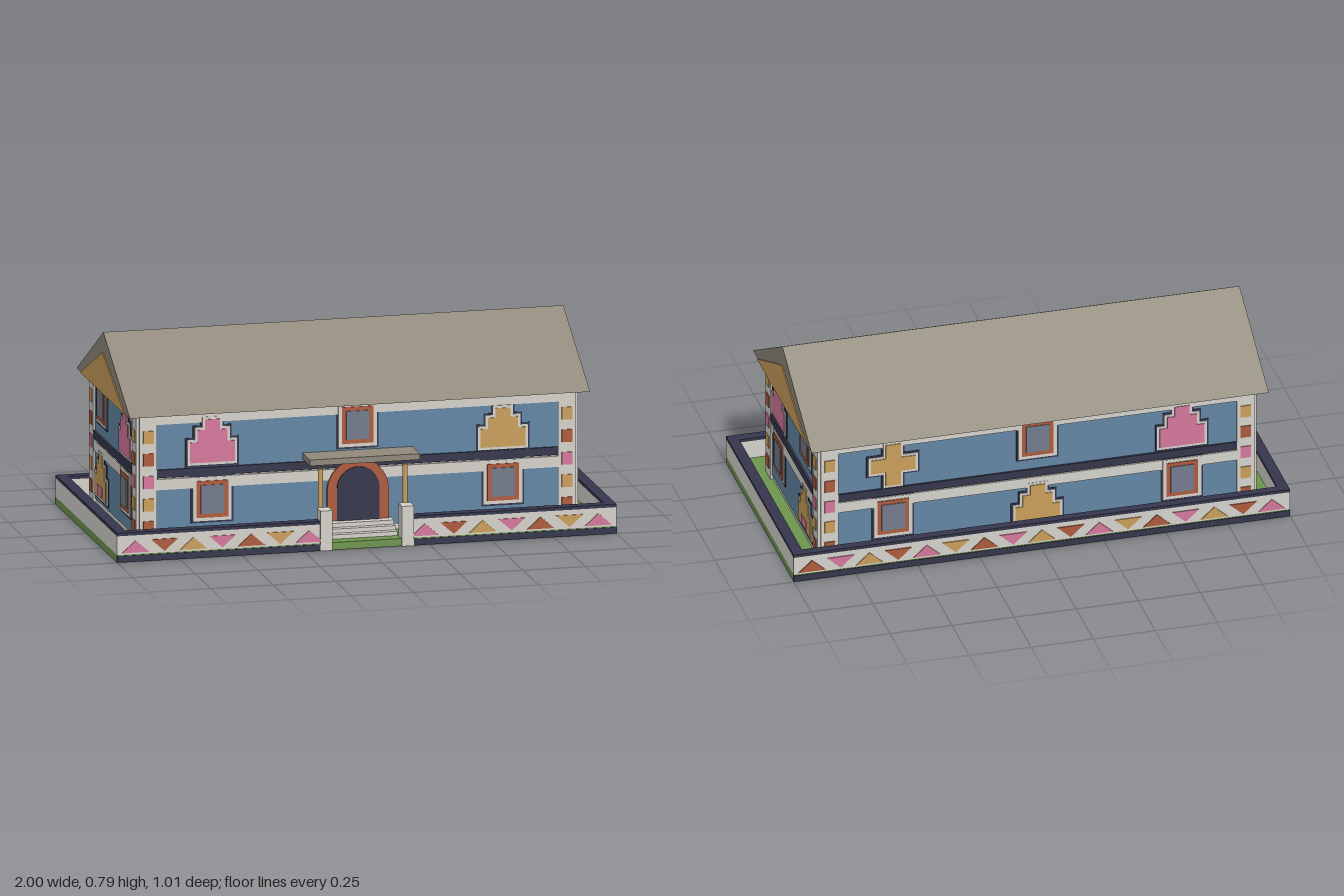
import * as THREE from 'three';

const paint = (name, color) => {
  const m = new THREE.MeshStandardMaterial({ color });
  m.name = name;
  return m;
};
const white = paint('plaster white', 0xd4d1ca), blue = paint('wall blue', 0x6285a3);
const navy = paint('navy trim', 0x35354c), pink = paint('pink', 0xd4779b);
const gold = paint('ochre', 0xc89d5a), red = paint('rust red', 0xac5a3c);
const green = paint('grass green', 0x6d934d), roofGrey = paint('roof grey', 0x8f887a);
const glass = paint('glass grey', 0x737a8b);

const FRONT = 0.338, BACK = -0.424, HALF_X = 0.873;
const MID_Z = (FRONT + BACK) / 2, HALF_Z = (FRONT - BACK) / 2;

function add(parent, name, geometry, material) {
  const mesh = new THREE.Mesh(geometry, material);
  mesh.name = name;
  parent.add(mesh);
  return mesh;
}

// Box given by its limits
function box(parent, name, mat, x0, x1, y0, y1, z0, z1) {
  const m = add(parent, name, new THREE.BoxGeometry(x1 - x0, y1 - y0, z1 - z0), mat);
  m.position.set((x0 + x1) / 2, (y0 + y1) / 2, (z0 + z1) / 2);
  return m;
}

// Flat outline raised from a wall by depth
function plate(parent, name, mat, points, depth) {
  const shape = new THREE.Shape(points.map(([x, y]) => new THREE.Vector2(x, y)));
  return add(parent, name, new THREE.ExtrudeGeometry(shape, { depth, bevelEnabled: false }), mat);
}

// Framed window in four stacked layers
function addWindow(wall, x, y) {
  const g = new THREE.Group();
  g.name = 'window';
  [['outline', navy, 0.085, 0.095, 0.007], ['surround', white, 0.0775, 0.087, 0.0105],
    ['frame', red, 0.0635, 0.0735, 0.0135], ['pane', glass, 0.047, 0.057, 0.0165]]
    .forEach(([n, m, w, h, d]) => box(g, n, m, -w, w, -h, h, 0, d));
  g.position.set(x, y, 0);
  wall.add(g);
}

// Ornament with white and navy outlines; outline(d) gives its points grown by d
function addMotif(wall, name, mat, x, y, outline) {
  const g = new THREE.Group();
  g.name = name;
  plate(g, 'outline', navy, outline(0.017), 0.007);
  plate(g, 'surround', white, outline(0.01), 0.0105);
  plate(g, 'fill', mat, outline(0), 0.0135);
  g.position.set(x, y, 0);
  wall.add(g);
  return g;
}

// Three-step pyramid, mirrored about its centre line
const stepped = (h) => (d) => {
  const right = [[0.09 + d, -d], [0.09 + d, 0.48 * h + d], [0.06 + d, 0.48 * h + d],
    [0.06 + d, 0.76 * h + d], [0.03 + d, 0.76 * h + d], [0.03 + d, h + d]];
  return [...right, ...right.map(([x, y]) => [-x, y]).reverse()];
};
const cross = (d) => {
  const a = 0.03 + d, b = 0.09 + d;
  return [[a, -b], [a, -a], [b, -a], [b, a], [a, a], [a, b],
    [-a, b], [-a, a], [-b, a], [-b, -a], [-a, -a], [-a, -b]];
};

// Wall face: panels, bands and corner strips with coloured squares
function addWall(house, name, half, x, z, turn) {
  const wall = new THREE.Group();
  wall.name = name;
  wall.position.set(x, 0, z);
  wall.rotation.y = turn;
  house.add(wall);
  const w = half - 0.07;
  box(wall, 'lowerPanel', blue, -w, w, 0.05, 0.243, 0, 0.004);
  box(wall, 'upperPanel', blue, -w, w, 0.322, 0.503, 0, 0.004);
  box(wall, 'middleBand', white, -w, w, 0.242, 0.285, 0, 0.009);
  box(wall, 'floorBand', navy, -w, w, 0.291, 0.323, 0, 0.012);
  box(wall, 'topBand', white, -w, w, 0.503, 0.545, 0, 0.009);
  for (const s of [-1, 1]) {
    const c = s * (half - 0.035);
    box(wall, 'cornerStrip', white, c - 0.035, c + 0.035, 0.03, 0.545, 0, 0.011);
    [red, gold, pink, red, gold].forEach((m, i) => {
      const y = 0.096 + i * 0.09;
      box(wall, 'cornerSquare', m, c - 0.021, c + 0.021, y - 0.025, y + 0.025, 0, 0.015);
    });
  }
  return wall;
}

// Row of alternating triangles along a garden wall
function addTriangles(parent, count, x0, z) {
  for (let i = 0; i < count; i++) {
    const s = i % 2 ? -1 : 1;
    const t = plate(parent, 'wallTriangle', [pink, red, gold][i % 3],
      [[-0.054, -0.024 * s], [0.054, -0.024 * s], [0, 0.024 * s]], 0.004);
    t.position.set(x0 + i * 0.1158, 0.061, z);
    if (z < 0) t.position.z -= 0.004;
  }
}

const arch = (r, base, spring) => {
  const pts = [[-r, base], [r, base]];
  for (let i = 0; i <= 16; i++) {
    const a = (i / 16) * Math.PI;
    pts.push([r * Math.cos(a), spring + r * Math.sin(a)]);
  }
  return pts;
};

export function createModel() {
  const model = new THREE.Group();
  model.name = 'paintedHouse';

  // Lawn and garden wall
  box(model, 'lawn', green, -1, 1, 0, 0.03, -0.497, 0.497);
  const fence = new THREE.Group();
  fence.name = 'gardenWall';
  model.add(fence);
  const fenceRun = (x0, x1, z0, z1) => {
    box(fence, 'wall', white, x0, x1, 0.03, 0.105, z0, z1);
    box(fence, 'wallCap', navy, x0, x1, 0.105, 0.117, z0, z1);
  };
  for (const s of [-1, 1]) {
    const side = s < 0 ? [-1, -0.957] : [0.957, 1];
    const run = s < 0 ? [-0.957, -0.165] : [0.165, 0.957];
    fenceRun(...side, -0.497, 0.497);
    fenceRun(...run, 0.455, 0.497);
    const skirt = s < 0 ? [-1, -0.165] : [0.165, 1];
    box(fence, 'wallFoot', navy, ...skirt, 0, 0.026, 0.49, 0.5);
    box(fence, 'gatePost', white, s * 0.163 - 0.024, s * 0.163 + 0.024, 0, 0.16, 0.445, 0.505);
  }
  fenceRun(-0.957, 0.957, -0.497, -0.46);
  box(fence, 'wallFoot', navy, -1, 1, 0, 0.026, -0.5, -0.49);
  addTriangles(fence, 7, -0.926, 0.497);
  addTriangles(fence, 7, 0.232, 0.497);
  addTriangles(fence, 17, -0.926, -0.497);

  // House body and its four faces
  const house = new THREE.Group();
  house.name = 'house';
  model.add(house);
  box(house, 'body', white, -HALF_X, HALF_X, 0.03, 0.546, BACK, FRONT);

  const front = addWall(house, 'frontWall', HALF_X, 0, FRONT, 0);
  addWindow(front, 0, 0.458);
  for (const x of [-0.582, 0.582]) addWindow(front, x, 0.196);
  addMotif(front, 'pinkMotif', pink, -0.582, 0.343, stepped(0.172));
  addMotif(front, 'ochreMotif', gold, 0.582, 0.337, stepped(0.155));

  const back = addWall(house, 'backWall', HALF_X, 0, BACK, Math.PI);
  addWindow(back, 0, 0.458);
  for (const x of [-0.582, 0.582]) addWindow(back, x, 0.196);
  addMotif(back, 'crossMotif', gold, -0.582, 0.425, cross);
  addMotif(back, 'pinkMotif', pink, 0.582, 0.343, stepped(0.172));
  addMotif(back, 'ochreMotif', gold, 0, 0.08, stepped(0.172));

  for (const s of [-1, 1]) {
    const side = addWall(house, s > 0 ? 'leftWall' : 'rightWall', HALF_Z, s * HALF_X, MID_Z, s * Math.PI / 2);
    addWindow(side, s * 0.19, 0.458);
    addWindow(side, s * -0.193, 0.196);
    addMotif(side, 'pinkMotif', pink, s * -0.194, 0.343, stepped(0.172));
    const m = addMotif(side, 'ochreMotif', gold, s * 0.19, 0.08, stepped(0.172));
    box(m, 'inset', pink, -0.035, 0.035, 0.008, 0.047, 0, 0.0165);
  }

  // Gabled roof with an ochre triangle at each end
  const gable = (name, mat, halfWidth, top, halfLength) => {
    const m = plate(house, name, mat, [[-halfWidth, 0], [halfWidth, 0], [0, top]], halfLength * 2);
    m.rotation.y = Math.PI / 2;
    m.position.set(-halfLength, 0.545, MID_Z);
    return m;
  };
  gable('roof', roofGrey, 0.43, 0.245, 0.921);
  for (const s of [-1, 1]) {
    gable('gablePanel', gold, 0.36, 0.164, 0.003).position.x = s * 0.922 - 0.003;
  }

  // Arched door, steps and porch
  plate(front, 'doorFrame', red, arch(0.123, 0.03, 0.2), 0.017);
  plate(front, 'door', navy, arch(0.085, 0.03, 0.208), 0.022);
  const porch = new THREE.Group();
  porch.name = 'porch';
  model.add(porch);
  for (let i = 0; i < 3; i++) {
    box(porch, 'step', white, -0.135, 0.135, 0.03, 0.047 + i * 0.0165, FRONT, 0.445 - i * 0.026);
  }
  box(porch, 'canopy', roofGrey, -0.22, 0.22, 0.333, 0.357, FRONT, 0.465);
  for (const s of [-1, 1]) {
    add(porch, 'porchPost', new THREE.CylinderGeometry(0.01, 0.01, 0.282, 12), gold)
      .position.set(s * 0.17, 0.171, 0.431);
  }
  return model;
}
